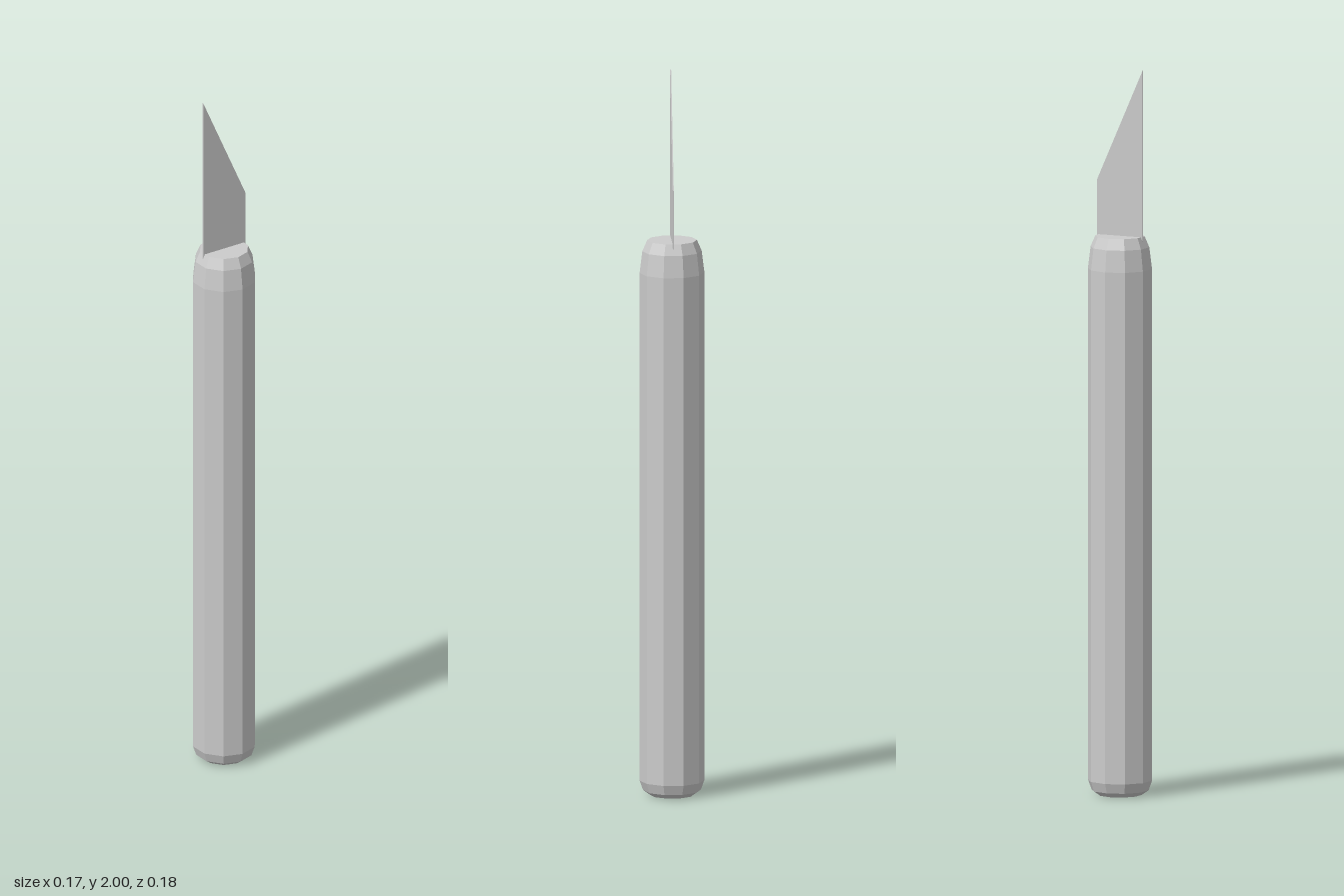
import * as THREE from 'three';

export function createModel() {
  const group = new THREE.Group();
  const material = new THREE.MeshStandardMaterial({ color: 0xcccccc, flatShading: true });

  // Ten-sided handle with two-step bevelled ends
  const profile = [
    [0, 0], [0.06, 0], [0.079, 0.013], [0.0885, 0.04],
    [0.0885, 1.45], [0.081, 1.51], [0.068, 1.54], [0, 1.54],
  ].map(([r, y]) => new THREE.Vector2(r, y));
  const handle = new THREE.Mesh(new THREE.LatheGeometry(profile, 10), material);
  handle.name = 'handle';
  group.add(handle);

  // Thin slanted blade, its root sunk into the handle
  const outline = new THREE.Shape([
    [-0.07, 1.5], [0.07, 1.5], [0.07, 1.69], [-0.07, 2],
  ].map(([x, y]) => new THREE.Vector2(x, y)));
  const thickness = 0.003;
  const bladeGeometry = new THREE.ExtrudeGeometry(outline, { depth: thickness, bevelEnabled: false });
  bladeGeometry.translate(0, 0, -thickness / 2);
  const blade = new THREE.Mesh(bladeGeometry, material);
  blade.name = 'blade';
  group.add(blade);

  return group;
}
